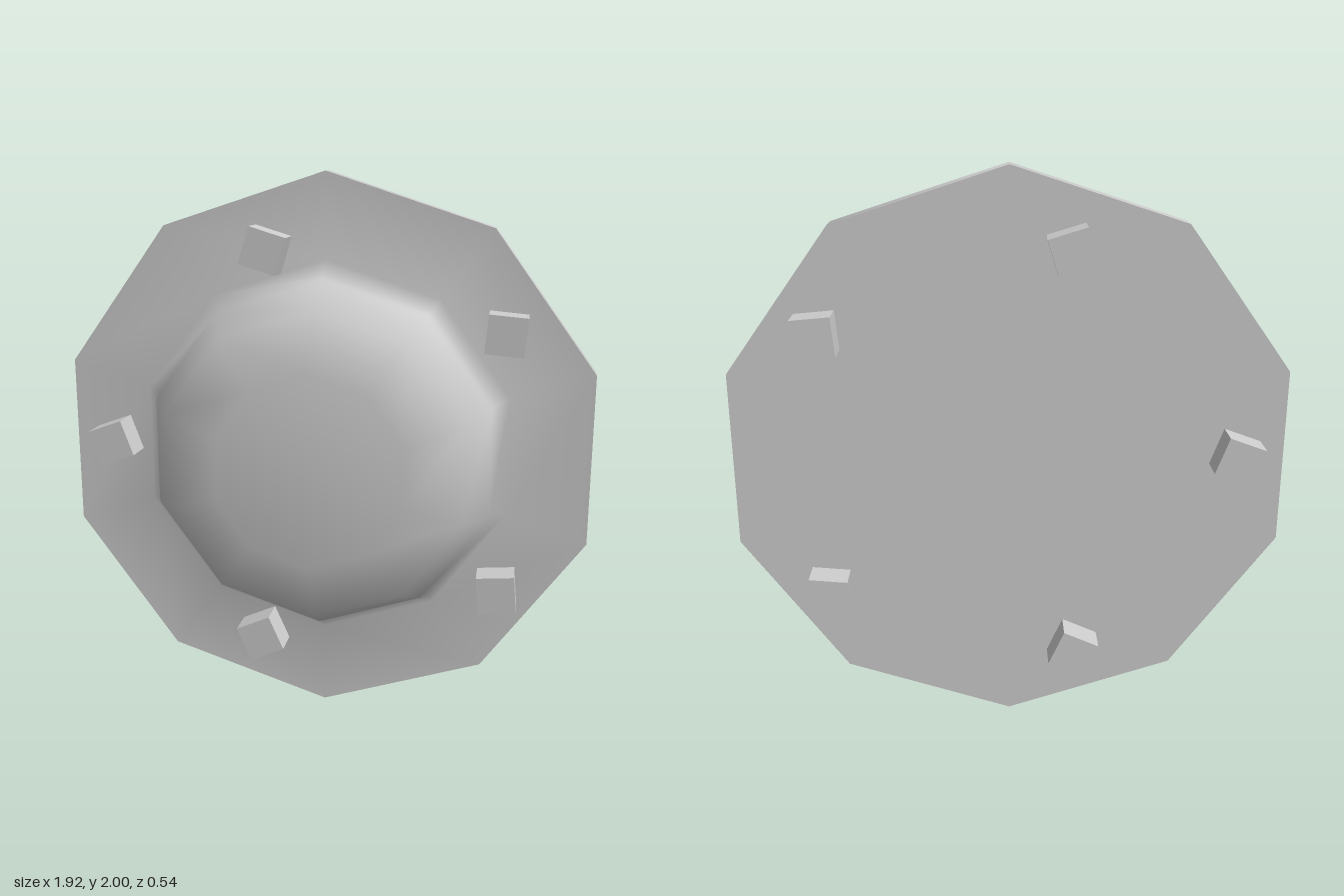
import * as THREE from 'three';

const SIDES = 10;

// Ten-sided surface of revolution about the z axis; profile is [radius, z]
function turned(name, profile, material) {
  const points = profile.map(([r, z]) => new THREE.Vector2(r, z));
  const geometry = new THREE.LatheGeometry(points, SIDES);
  geometry.rotateX(Math.PI / 2);
  geometry.scale(1.008, 1, 1);
  const mesh = new THREE.Mesh(geometry, material);
  mesh.name = name;
  mesh.position.y = 1;
  return mesh;
}

export function createModel() {
  const group = new THREE.Group();
  group.name = 'domedFlange';
  const metal = new THREE.MeshStandardMaterial({ color: 0xcccccc });
  metal.name = 'light grey';

  // Front face running smoothly through the fillet into the dome
  group.add(turned('frontPlateAndDome', [
    [1, -0.07], [0.695, -0.07], [0.635, -0.015], [0.63, 0.045],
    [0.55, 0.2], [0.345, 0.272], [0, 0.272],
  ], metal));

  // Plate edge and flat back
  group.add(turned('plateRim', [[1, -0.16], [1, -0.07]], metal));
  group.add(turned('plateBack', [[0, -0.16], [1, -0.16]], metal));

  // Square bolts through the plate: x, y, turn in degrees
  const boltShape = new THREE.BoxGeometry(0.136, 0.136, 0.31);
  const bolts = [
    [-0.205, 1.73, -17], [0.645, 1.455, -5], [0.645, 0.515, 5],
    [-0.23, 0.28, 24], [-0.788, 1.018, 20],
  ];
  bolts.forEach(([x, y, turn], i) => {
    const bolt = new THREE.Mesh(boltShape, metal);
    bolt.name = `bolt${i + 1}`;
    bolt.position.set(x, y, -0.11);
    bolt.rotation.z = THREE.MathUtils.degToRad(turn);
    group.add(bolt);
  });

  return group;
}
